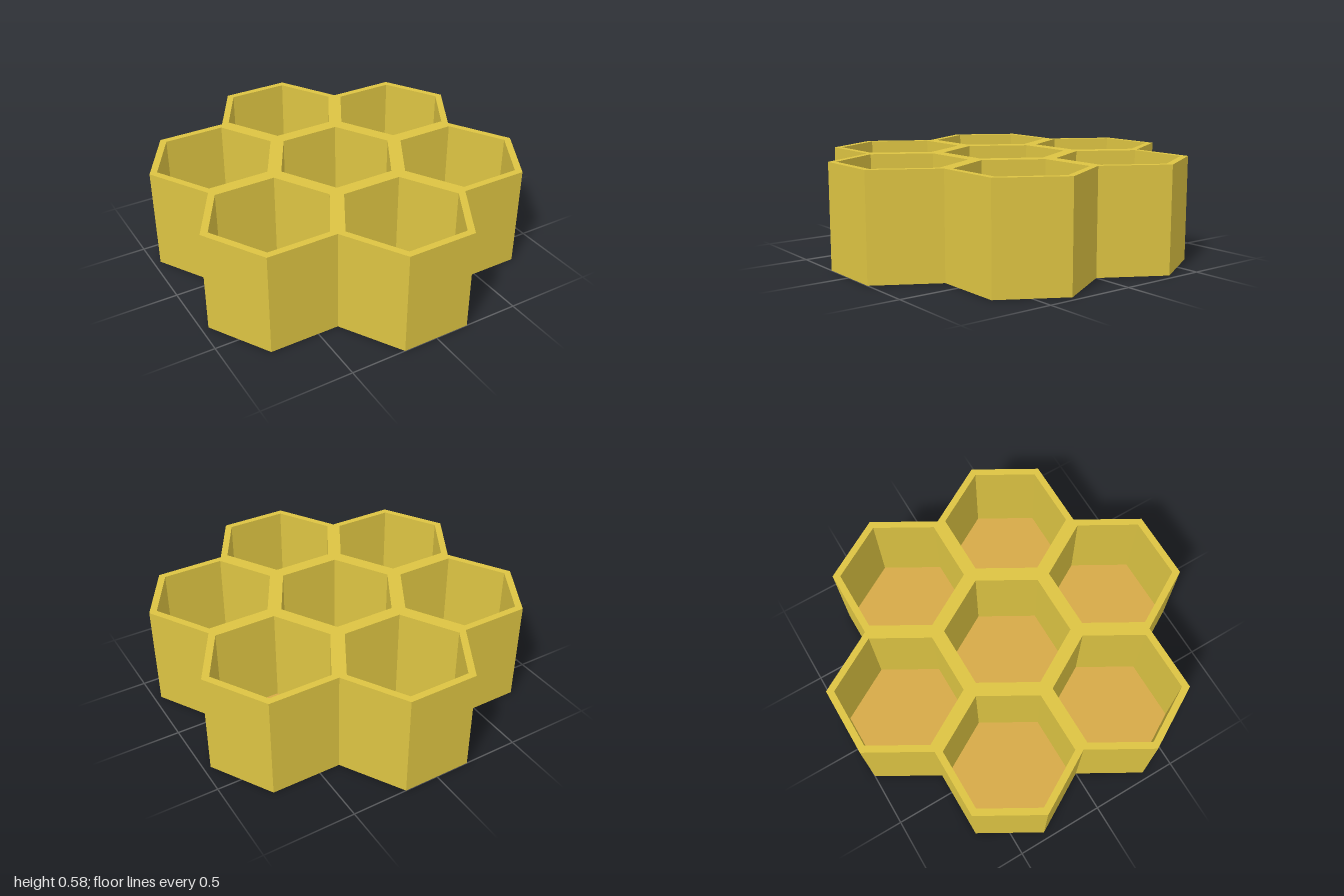
import * as THREE from 'three';

const OUTER = 2 / (3 * Math.sqrt(3)); // corner radius of one cell
const INNER = 0.342;                  // corner radius of the opening
const HEIGHT = 0.577;
const FLOOR = 0.05;
const STEP = Math.PI / 3;

// Point at a distance and angle from a centre
const polar = (c, r, a) => new THREE.Vector2(c.x + r * Math.cos(a), c.y + r * Math.sin(a));
const hexagon = (c, r) => Array.from({ length: 6 }, (_, i) => polar(c, r, i * STEP));

// Upright extrusion standing on y = 0
function extrudeUp(shape, depth) {
  return new THREE.ExtrudeGeometry(shape, { depth, bevelEnabled: false }).rotateX(-Math.PI / 2);
}

export function createModel() {
  const model = new THREE.Group();
  model.name = 'honeycomb';
  const wax = new THREE.MeshStandardMaterial({ color: 0xdcc342 });
  wax.name = 'yellow wax';
  const honey = new THREE.MeshStandardMaterial({ color: 0xd6a948 });
  honey.name = 'amber floor';

  // Cell centres: one in the middle, six around it
  const middle = new THREE.Vector2(0, 0);
  const centres = [middle];
  const outline = [];
  for (let k = 0; k < 6; k++) {
    const a = Math.PI / 6 + k * STEP;
    const c = polar(middle, 2 / 3, a);
    centres.push(c);
    // Each outer cell adds its notch corner and two outward corners
    for (const turn of [-1.5, -0.5, 0.5]) outline.push(polar(c, OUTER, a + turn * STEP));
  }

  // Joined cell walls with seven hexagonal openings
  const wallShape = new THREE.Shape(outline);
  for (const c of centres) wallShape.holes.push(new THREE.Path(hexagon(c, INNER)));
  const walls = new THREE.Mesh(extrudeUp(wallShape, HEIGHT), wax);
  walls.name = 'cellWalls';
  model.add(walls);

  // A floor plate closing the bottom of each cell
  const floors = new THREE.Group();
  floors.name = 'cellFloors';
  const floorGeometry = extrudeUp(new THREE.Shape(hexagon(middle, INNER)), FLOOR);
  centres.forEach((c, i) => {
    const floor = new THREE.Mesh(floorGeometry, honey);
    floor.name = `cellFloor${i + 1}`;
    floor.position.set(c.x, 0, -c.y);
    floors.add(floor);
  });
  model.add(floors);
  return model;
}
